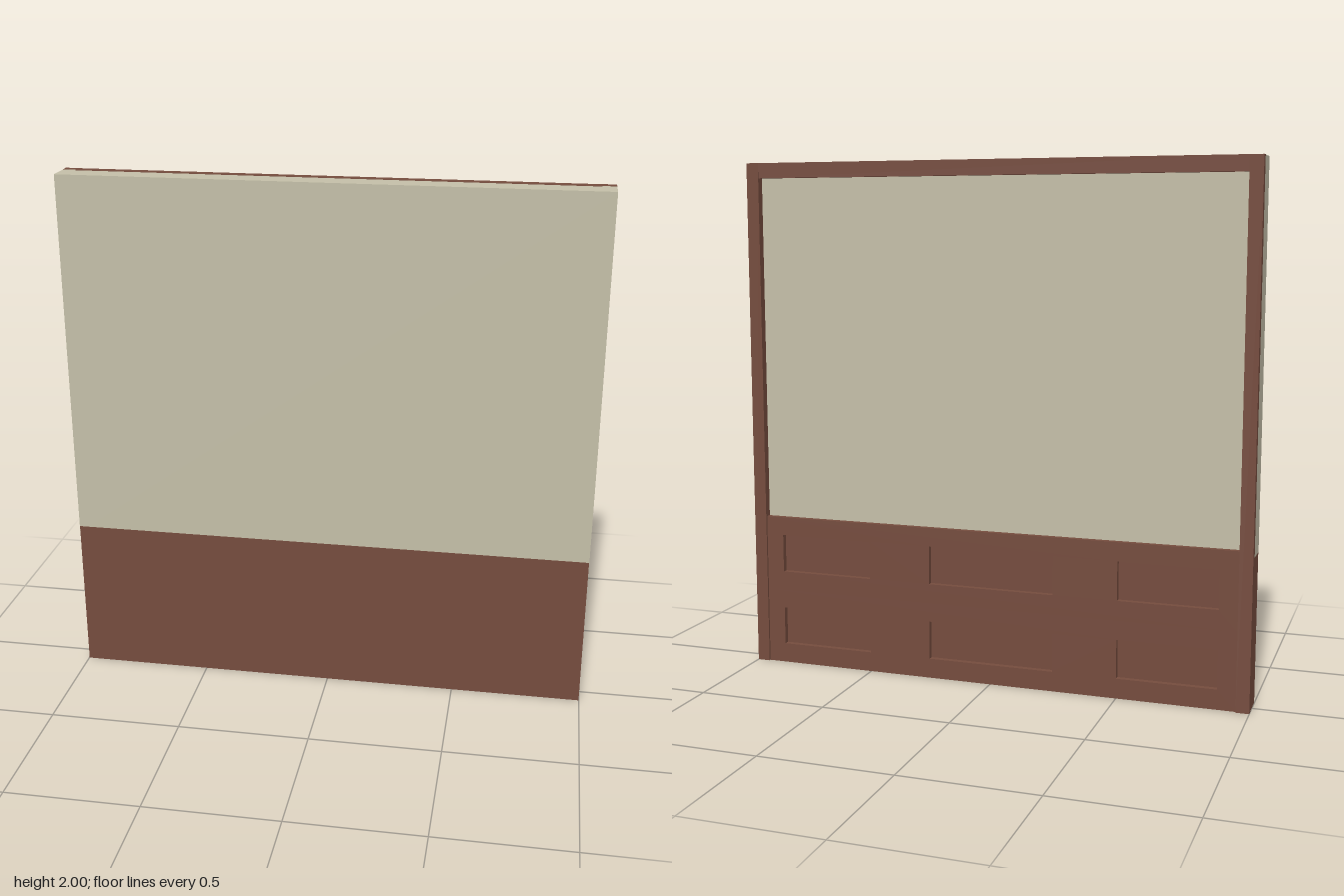
import * as THREE from 'three';

const plaster = new THREE.MeshStandardMaterial({ color: 0xc4bfa8 });
const wood = new THREE.MeshStandardMaterial({ color: 0x754c3e });

// Box given by its limits on each axis
function box(name, material, [x0, x1], [y0, y1], [z0, z1]) {
  const mesh = new THREE.Mesh(new THREE.BoxGeometry(x1 - x0, y1 - y0, z1 - z0), material);
  mesh.position.set((x0 + x1) / 2, (y0 + y1) / 2, (z0 + z1) / 2);
  mesh.name = name;
  return mesh;
}

function rectangle(path, x0, x1, y0, y1) {
  path.moveTo(x0, y0).lineTo(x1, y0).lineTo(x1, y1).lineTo(x0, y1).closePath();
  return path;
}

// One row of the panelled face: a board with three rectangular openings
function panelRow(y) {
  const board = rectangle(new THREE.Shape(), -0.95, 0.95, 0, 0.3);
  for (const [x0, x1] of [[-0.88, -0.5], [-0.25, 0.25], [0.5, 0.88]]) {
    board.holes.push(rectangle(new THREE.Path(), x0, x1, 0.077, 0.227));
  }
  const geometry = new THREE.ExtrudeGeometry(board, { depth: 0.022, bevelEnabled: false });
  const mesh = new THREE.Mesh(geometry, wood);
  mesh.position.set(0, y, -0.057);
  mesh.name = 'panelledBoard';
  return mesh;
}

export function createModel() {
  const group = new THREE.Group();
  group.name = 'wallSection';

  // Plaster wall; its foot overlaps the wood base, which sits proud at the front
  group.add(box('plasterWall', plaster, [-1, 1], [0.575, 1.999], [-0.035, 0.064]));

  // Wainscot: two stacked courses with recessed panels on the back
  for (const y of [0, 0.3]) {
    group.add(box('wainscotCore', wood, [-0.999, 0.999], [y, y + 0.3], [-0.035, 0.065]));
    group.add(panelRow(y));
  }

  // Frame on the back: corner posts and top rail
  for (const side of [-1, 1]) {
    const post = box('cornerPost', wood, [-0.025, 0.025], [0, 2], [-0.065, -0.035]);
    post.position.x = side * 0.975;
    group.add(post);
  }
  group.add(box('topRail', wood, [-0.95, 0.95], [1.942, 2], [-0.063, -0.025]));

  return group;
}
